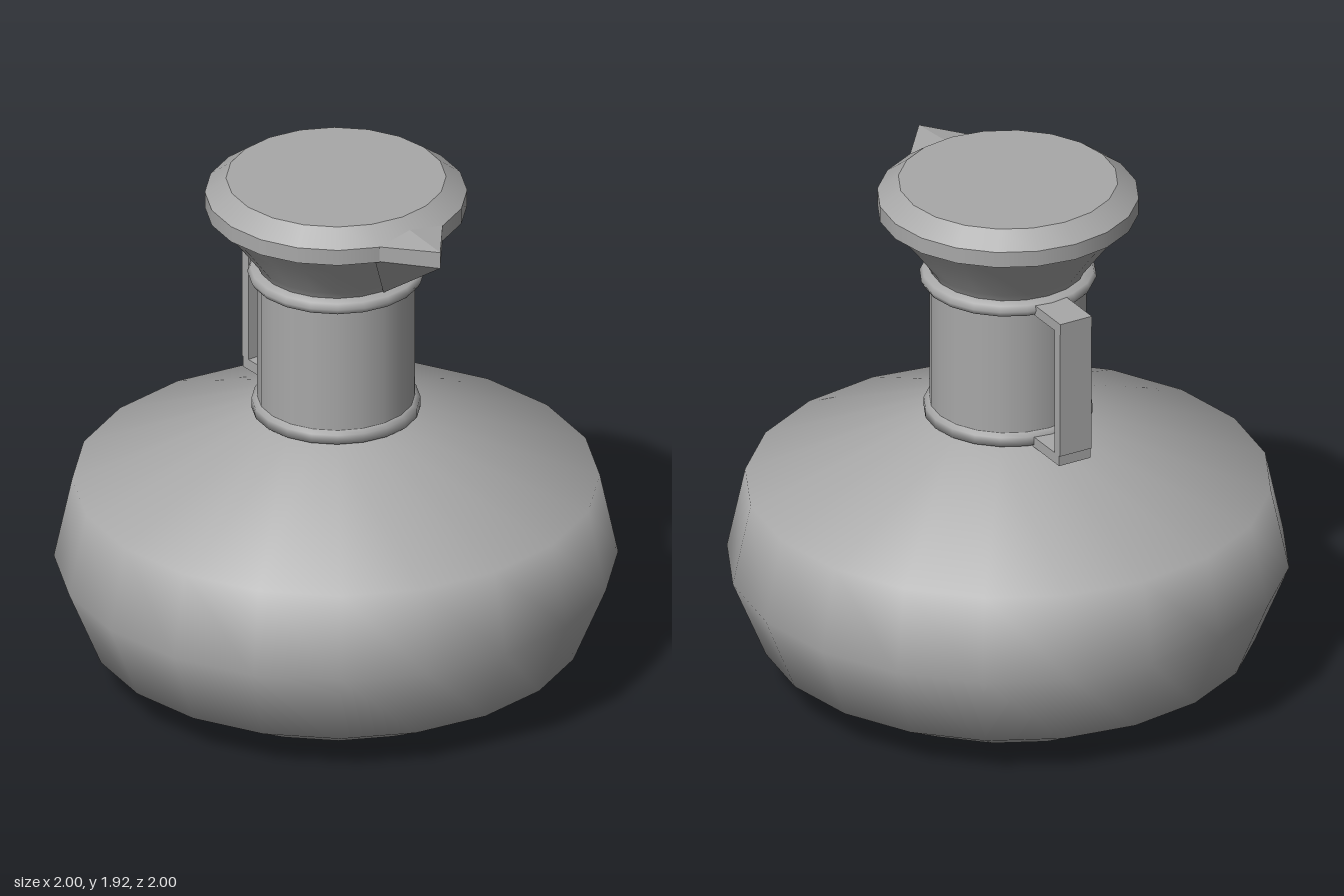
import * as THREE from 'three';

const SIDES = 20;

export function createModel() {
  const jug = new THREE.Group();
  jug.name = 'jug';
  const clay = new THREE.MeshStandardMaterial({ color: 0xa8a8a8 });
  clay.name = 'grey clay';

  const add = (name, geometry, parent = jug) => {
    const mesh = new THREE.Mesh(geometry, clay);
    mesh.name = name;
    parent.add(mesh);
    return mesh;
  };
  // Turned part from [radius, height] pairs, bottom to top
  const turn = (name, profile) =>
    add(name, new THREE.LatheGeometry(profile.map(([r, y]) => new THREE.Vector2(r, y)), SIDES));

  // Squat belly and its flat base
  turn('base', [[0, 0], [0.62, 0]]);
  turn('belly', [[0.62, 0], [0.88, 0.14], [1, 0.43], [0.935, 0.735], [0.3, 1.0], [0.25, 1.02]]);

  // Neck with a collar at each end
  turn('lowerCollar', [[0.27, 1.01], [0.3, 1.015], [0.3, 1.05], [0.28, 1.06]]);
  turn('neck', [[0.28, 1.02], [0.28, 1.56]]);
  turn('upperCollar', [[0.275, 1.525], [0.305, 1.535], [0.315, 1.555], [0.305, 1.575], [0.27, 1.585]]);

  // Flared mouth, lip, bevel and closed top
  turn('flare', [[0.27, 1.57], [0.29, 1.61], [0.38, 1.73], [0.445, 1.81]]);
  turn('lipUnderside', [[0.43, 1.81], [0.465, 1.81]]);
  turn('lip', [[0.465, 1.81], [0.465, 1.87]]);
  turn('lipBevel', [[0.465, 1.87], [0.39, 1.925]]);
  turn('top', [[0.39, 1.925], [0, 1.925]]);

  // Pointed pouring spout: lip band above, keel running down to the collar
  const v = {
    tipTop: [0, 1.875, 0.615], tipLow: [0, 1.812, 0.615], back: [0, 1.895, 0.4], keel: [0, 1.58, 0.28],
    leftTop: [0.15, 1.87, 0.43], leftLow: [0.15, 1.812, 0.43],
    rightTop: [-0.15, 1.87, 0.43], rightLow: [-0.15, 1.812, 0.43],
  };
  const faces = [
    ['back', 'tipTop', 'leftTop'], ['back', 'rightTop', 'tipTop'],
    ['tipTop', 'tipLow', 'leftLow'], ['tipTop', 'leftLow', 'leftTop'],
    ['rightTop', 'rightLow', 'tipLow'], ['rightTop', 'tipLow', 'tipTop'],
    ['tipLow', 'keel', 'leftLow'], ['rightLow', 'keel', 'tipLow'],
  ];
  const spout = new THREE.BufferGeometry();
  spout.setAttribute('position',
    new THREE.Float32BufferAttribute(faces.flat().flatMap((key) => v[key]), 3));
  spout.computeVertexNormals();
  add('spout', spout);

  // Square strap handle at the back
  const handle = new THREE.Group();
  handle.name = 'handle';
  jug.add(handle);
  const bar = (name, y0, y1, z0, z1) =>
    add(name, new THREE.BoxGeometry(0.13, y1 - y0, z1 - z0), handle)
      .position.set(0, (y0 + y1) / 2, (z0 + z1) / 2);
  bar('handleTop', 1.53, 1.57, -0.47, -0.27);
  bar('handleGrip', 1.045, 1.53, -0.468, -0.43);
  bar('handleBottom', 1.005, 1.045, -0.462, -0.27);

  return jug;
}
